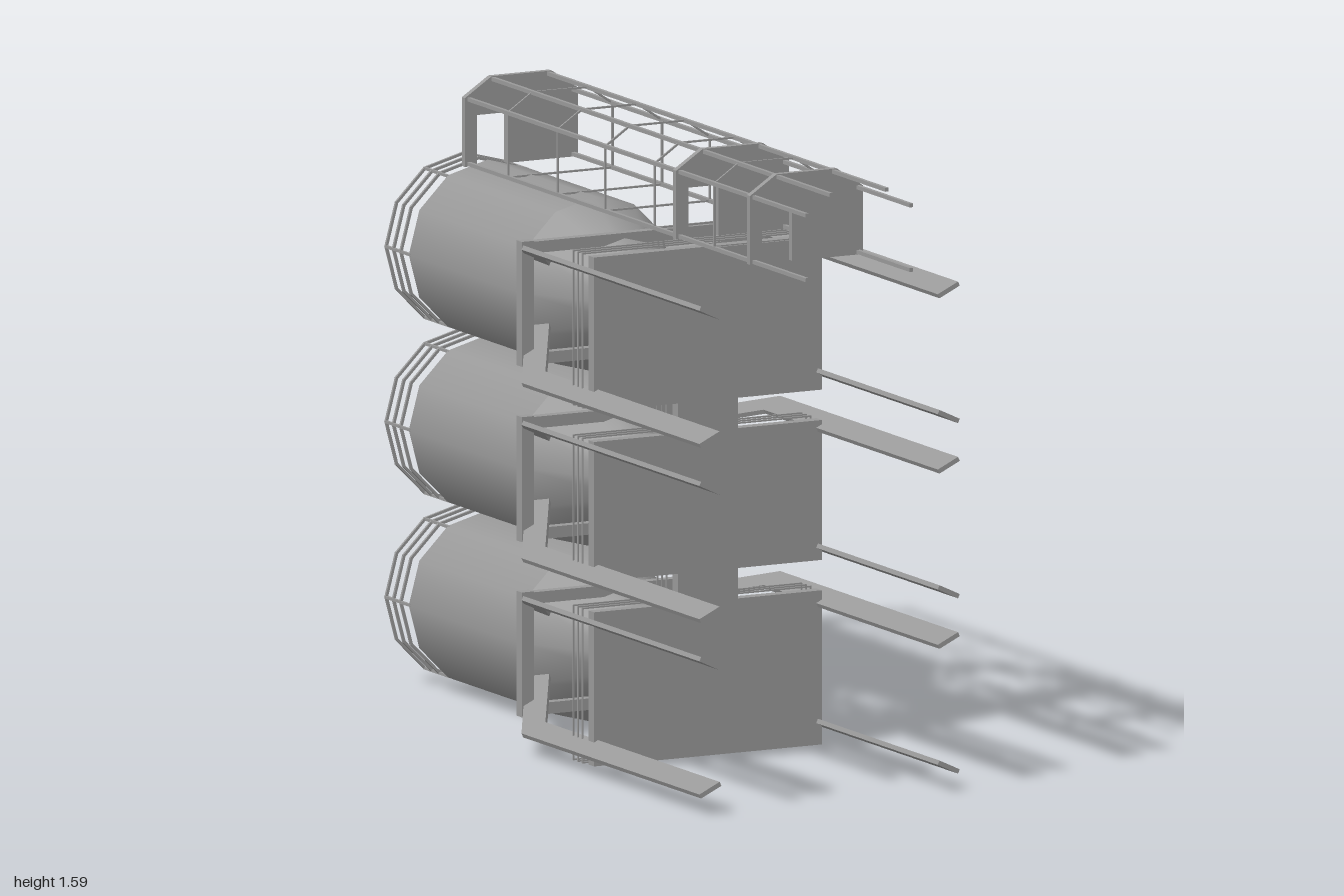
import * as THREE from 'three';

const material = new THREE.MeshStandardMaterial({ color: 0x999999 });

function add(parent, name, geometry, x = 0, y = 0, z = 0) {
  const mesh = new THREE.Mesh(geometry, material);
  mesh.name = name;
  mesh.position.set(x, y, z);
  parent.add(mesh);
  return mesh;
}

// Square bar stretched between two points
function bar(parent, name, a, b, t) {
  const p = new THREE.Vector3(...a), q = new THREE.Vector3(...b);
  const mesh = add(parent, name, new THREE.BoxGeometry(t, t, p.distanceTo(q) + t * 0.5));
  mesh.position.copy(p).add(q).multiplyScalar(0.5);
  mesh.lookAt(q);
}

// Closed wire outline of [x, y] points at depth z
function wireLoop(parent, name, points, z, t) {
  points.forEach((p, i) => {
    const q = points[(i + 1) % points.length];
    bar(parent, name, [...p, z], [...q, z], t);
  });
}

// Flat plate from [x, y] points, centred on its thickness
function plate(points, depth) {
  const shape = new THREE.Shape(points.map(p => new THREE.Vector2(...p)));
  return new THREE.ExtrudeGeometry(shape, { depth, bevelEnabled: false }).translate(0, 0, -depth / 2);
}

// Cylinder or cone section lying along z
function section(parent, name, rBack, rFront, zBack, zFront) {
  const g = new THREE.CylinderGeometry(rFront, rBack, zFront - zBack, 12).rotateX(Math.PI / 2);
  add(parent, name, g, 0, 0, (zBack + zFront) / 2);
}

const R = 0.228;

function createSilo() {
  const silo = new THREE.Group();
  silo.name = 'silo';
  section(silo, 'tank', R, R, -0.865, -0.28);
  section(silo, 'hopperCone', R, 0.088, -0.28, 0);
  section(silo, 'outletNeck', 0.088, 0.072, 0, 0.315);

  // Guard rail around the flat end
  const at = a => [Math.sin(a) * (R - 0.004), Math.cos(a) * (R - 0.004)];
  const ring = Array.from({ length: 12 }, (_, i) => at(i * Math.PI / 6));
  for (const z of [-0.916, -0.956, -0.996]) wireLoop(silo, 'guardRing', ring, z, 0.007);
  for (let i = 0; i < 6; i++) {
    const p = at(Math.PI / 6 + i * Math.PI / 3);
    bar(silo, 'guardPost', [...p, -0.86], [...p, -0.996], 0.007);
  }

  // Four bent legs, each lying in a plane through the tank axis
  const legShape = [[0.35, 1], [0.35, 0.05], [0.175, -0.225], [0.222, -0.275], [0.415, 0.03], [0.415, 1]];
  const tilt = 0.445;
  for (const a of [tilt, Math.PI - tilt, Math.PI + tilt, -tilt]) {
    add(silo, 'leg', plate(legShape, 0.012).rotateX(Math.PI / 2).rotateZ(a));
  }

  // Rectangular brace frame joining the legs
  for (const s of [-1, 1]) {
    add(silo, 'braceUpright', new THREE.BoxGeometry(0.035, 0.325, 0.028), s * 0.281, 0, -0.13);
    add(silo, 'braceCrossbar', new THREE.BoxGeometry(0.597, 0.03, 0.027), 0, s * 0.145, -0.13);
  }
  return silo;
}

export function createModel() {
  const model = new THREE.Group();
  model.name = 'siloRack';

  for (let i = 0; i < 3; i++) {
    const silo = createSilo();
    silo.position.y = R + i * 2 * R;
    model.add(silo);
  }

  // Front deck: three panels joined by narrow necks, with rail outlines behind
  const half = [[0.33, 0.015], [0.33, 0.416], [0.087, 0.416], [0.087, 0.495], [0.33, 0.495],
    [0.33, 0.859], [0.087, 0.859], [0.087, 0.938], [0.33, 0.938], [0.33, 1.339]];
  const deck = [...half, ...half.map(([x, y]) => [-x, y]).reverse()];
  add(model, 'deck', plate(deck, 0.03), 0, 0, 0.322);
  for (const z of [0.225, 0.25, 0.275]) wireLoop(model, 'deckRail', deck, z, 0.004);

  // Walkway cage along the top
  const cage = new THREE.Group();
  cage.name = 'walkwayCage';
  model.add(cage);
  const gate = [[0.25, 1.359], [0.25, 1.538], [0.175, 1.588], [0, 1.588], [-0.077, 1.538],
    [-0.077, 1.359], [-0.042, 1.359], [-0.042, 1.491], [0.045, 1.491], [0.045, 1.359]];
  for (const z of [-0.852, 0.3, 0.702]) add(cage, 'gatePlate', plate(gate, 0.017), 0, 0, z);

  const hoop = [[0.237, 1.366], [0.237, 1.534], [0.166, 1.581], [0.005, 1.581], [-0.065, 1.534], [-0.065, 1.366]];
  for (const p of hoop) bar(cage, 'cageRail', [...p, -0.853], [...p, 0.997], 0.01);
  for (const z of [-0.63, -0.36, -0.1, 0.17, 0.495]) wireLoop(cage, 'cageHoop', hoop, z, 0.005);

  return model;
}
